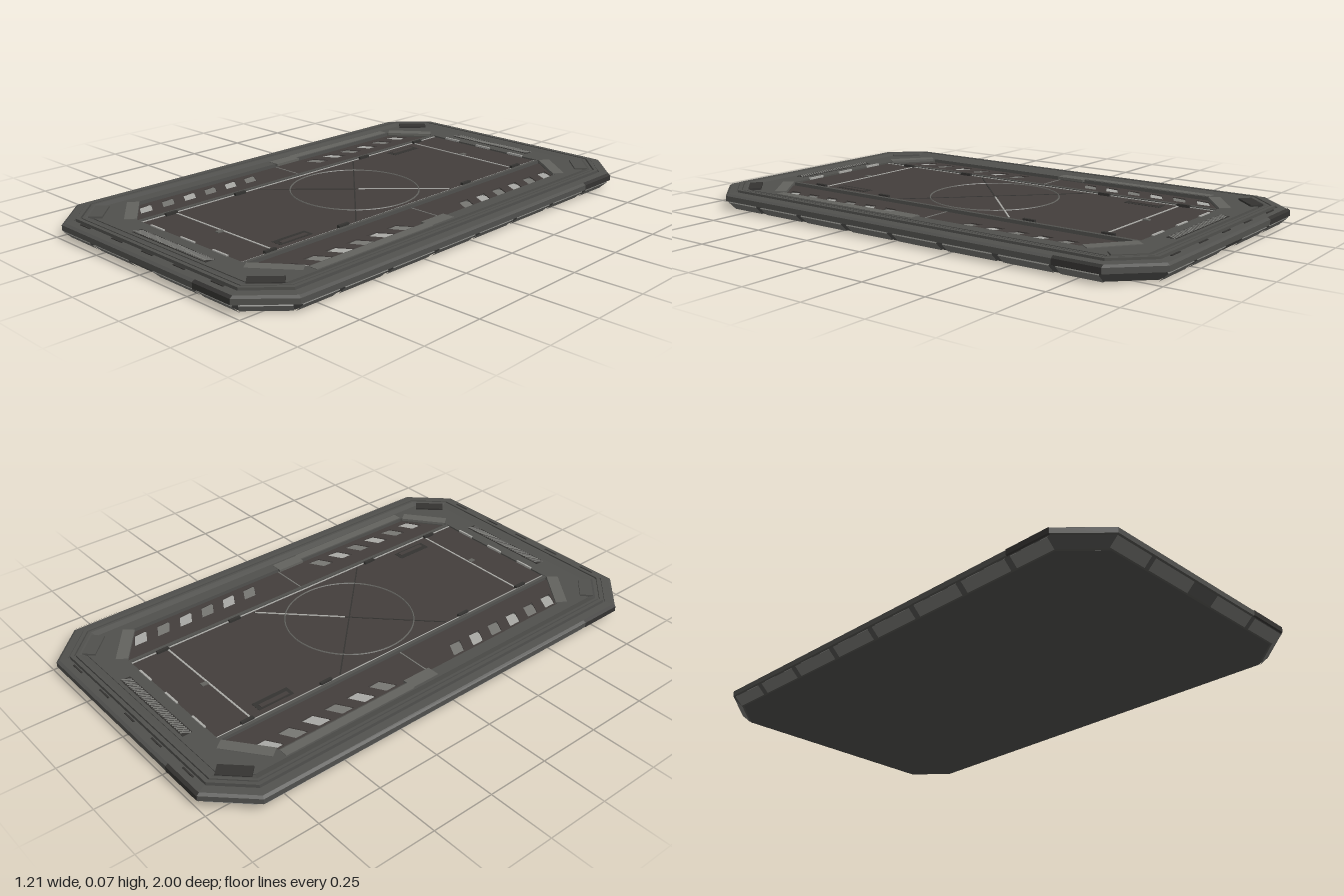
import * as THREE from 'three';

const mat = (color) => new THREE.MeshStandardMaterial({ color, flatShading: true });
const M = {
  frame: mat(0x50504d), trim: mat(0x62625e), bevel: mat(0x767672), floor: mat(0x433e3c),
  dark: mat(0x343331), base: mat(0x4c4c49), light: mat(0xa8a8a4),
};

// Heights of the centre panel, side panels and inner ledge
const CENTRE = 0.06, SIDE = 0.052, LEDGE = 0.066;

// Cut-corner outline, running from +x towards +z
const octagon = (a, b, cx, cz) => [
  [a, -b + cz], [a, b - cz], [a - cx, b], [-a + cx, b],
  [-a, b - cz], [-a, -b + cz], [-a + cx, -b], [a - cx, -b],
];

// Sweeps an [inset, height] profile along a path in the ground plane with mitred corners
function sweep(path, profile, closed) {
  const n = path.length;
  const normal = (i) => {
    const [p, q] = [path[(i + n) % n], path[(i + 1) % n]];
    const l = Math.hypot(q[0] - p[0], q[1] - p[1]);
    return [(q[1] - p[1]) / l, -(q[0] - p[0]) / l];
  };
  const rings = path.map(([x, z], i) => {
    const n1 = normal(!closed && i === 0 ? 0 : i - 1);
    const n2 = normal(!closed && i === n - 1 ? i - 1 : i);
    const k = 1 + n1[0] * n2[0] + n1[1] * n2[1];
    return profile.map(([d, y]) => [x - d * (n1[0] + n2[0]) / k, y, z - d * (n1[1] + n2[1]) / k]);
  });
  const pos = [];
  for (let j = 0; j < (closed ? n : n - 1); j++) {
    const r = rings[j], s = rings[(j + 1) % n];
    for (let k = 0; k < profile.length - 1; k++) {
      pos.push(...r[k], ...r[k + 1], ...s[k + 1], ...r[k], ...s[k + 1], ...s[k]);
    }
  }
  const g = new THREE.BufferGeometry();
  g.setAttribute('position', new THREE.Float32BufferAttribute(pos, 3));
  g.computeVertexNormals();
  return g;
}

// Flat plate from [x, z] points, with optional holes
function plate(points, top, thick, holes = []) {
  const v = (ps) => ps.map(([x, z]) => new THREE.Vector2(x, z));
  const shape = new THREE.Shape(v(points));
  holes.forEach((h) => shape.holes.push(new THREE.Path(v(h))));
  return new THREE.ExtrudeGeometry(shape, { depth: thick, bevelEnabled: false })
    .rotateX(Math.PI / 2).translate(0, top, 0);
}

function add(parent, name, geometry, material) {
  const m = new THREE.Mesh(geometry, material);
  m.name = name;
  parent.add(m);
  return m;
}

function box(parent, name, size, at, material, turn = 0) {
  const m = add(parent, name, new THREE.BoxGeometry(...size), material);
  m.position.set(...at);
  m.rotation.y = turn;
  return m;
}

// Details of one half; the other half is the same turned by 180 degrees
function buildHalf() {
  const h = new THREE.Group();

  // Dark guards on the upper wall beside two corners
  const guard = [[0.004, 0.034], [-0.002, 0.037], [-0.002, 0.057], [0.009, 0.0645]];
  add(h, 'sideGuard', sweep([[0.605, -0.85], [0.605, -0.67]], guard, false), M.dark);
  add(h, 'frontGuard', sweep([[0.46, 1], [0.28, 1]], guard, false), M.dark);

  // Panels on the lower bevel, with gaps between them
  const bevel = [[0.036, 0], [0.004, 0.03], [0.01, 0.036]];
  const side = [-0.85, -0.67, -0.45, -0.22, 0, 0.22, 0.45, 0.67, 0.85];
  for (let i = 0; i < side.length - 1; i++) {
    add(h, 'sideBevelPanel', sweep([[0.605, side[i] + 0.012], [0.605, side[i + 1] - 0.012]], bevel, false), M.bevel);
  }
  for (const [a, b] of [[0.46, 0.29], [0.27, 0.065], [-0.065, -0.27], [-0.29, -0.46]]) {
    add(h, 'frontBevelPanel', sweep([[a, 1], [b, 1]], bevel, false), M.bevel);
  }
  add(h, 'cornerBevelPanel', sweep([[0.59, 0.866], [0.475, 0.984]], bevel, false), M.bevel);

  // Thin inlays in the end rim
  for (const x of [-0.36, -0.17, 0, 0.17, 0.36]) {
    box(h, 'rimInlay', [0.06, 0.004, 0.006], [x, 0.066, 0.966], M.dark);
  }

  // Hatched vent on the end ledge
  box(h, 'ventPlate', [0.4, 0.003, 0.038], [0, LEDGE, 0.865], M.dark);
  for (let i = 0; i < 32; i++) {
    box(h, 'ventRib', [0.006, 0.004, 0.036], [-0.19 + i * 0.01226, LEDGE + 0.001, 0.865], M.bevel, -0.6);
  }

  // Corner blocks
  for (const s of [1, -1]) {
    box(h, 'cornerBlock', [0.12, 0.012, 0.05], [s * 0.452, 0.067, 0.852], s > 0 ? M.dark : M.frame, s * 0.8);
    box(h, 'cornerStep', [0.19, 0.01, 0.045], [s * 0.385, 0.064, 0.757], M.trim, s * 0.66);
  }

  // Side panel with slanted windows and bright louvres below them
  const windows = [];
  for (const s of [1, -1]) {
    for (let i = 0; i < 6; i++) {
      const z = s * (0.14 + i * 0.1);
      windows.push([[0.372, z + s * 0.035], [0.432, z], [0.432, z + s * 0.052], [0.372, z + s * 0.087]]);
      const louvre = box(h, 'louvre', [0.06, 0.003, 0.075], [0.402, SIDE - 0.006, z + s * 0.043], i % 2 ? M.light : M.bevel);
      louvre.rotation.x = s * 0.06;
    }
  }
  const outline = [[0.28, -0.8], [0.3, -0.8], [0.455, -0.68], [0.455, 0.68], [0.3, 0.8], [0.28, 0.8]];
  add(h, 'sidePanel', plate(outline, SIDE, 0.004, windows), M.floor);
  box(h, 'sideStep', [0.05, 0.01, 0.12], [0.467, 0.063, 0.06], M.trim);
  box(h, 'sideStrip', [0.036, 0.01, 0.56], [0.479, 0.063, 0.4], M.trim);
  box(h, 'panelSeam', [0.18, 0.003, 0.005], [0.375, SIDE, 0], M.bevel);

  // Edging of the centre panel
  box(h, 'panelRail', [0.014, 0.018, 1.6], [0.284, CENTRE - 0.004, 0], M.frame);
  box(h, 'railLine', [0.006, 0.004, 1.6], [0.272, CENTRE, 0], M.light);
  for (const z of [-0.67, -0.35, 0.33, 0.67]) {
    box(h, 'railClip', [0.012, 0.012, 0.05], [0.266, CENTRE + 0.004, z], M.dark);
  }
  box(h, 'hatchLine', [0.52, 0.004, 0.007], [0, CENTRE, 0.65], M.light);
  box(h, 'hatchLatch', [0.018, 0.006, 0.025], [0, CENTRE + 0.001, 0.665], M.trim);
  for (const x of [-0.17, 0, 0.17]) {
    box(h, 'endLine', [0.075, 0.008, 0.008], [x, LEDGE, 0.801], M.light);
  }

  // Recessed handle
  box(h, 'handleRecess', [0.045, 0.002, 0.15], [0.222, CENTRE, 0.53], M.dark);
  box(h, 'handle', [0.018, 0.004, 0.12], [0.228, CENTRE + 0.001, 0.53], M.floor);

  // Diagonal grooves through the ring mark
  for (const s of [1, -1]) {
    box(h, 'diagonal', [0.37, 0.003, 0.005], [0.131, CENTRE, s * 0.131], M.dark, -s * Math.PI / 4);
  }
  return h;
}

export function createModel() {
  const model = new THREE.Group();
  model.name = 'platform';

  // Stepped rim, from the underside over the top to the inner ledge
  const profile = [
    [0.044, 0], [0.038, 0.004], [0.008, 0.034], [0, 0.036], [0, 0.056], [0.01, 0.063],
    [0.04, 0.066], [0.04, 0.06], [0.046, 0.06], [0.046, 0.073], [0.06, 0.073], [0.06, 0.064],
    [0.066, 0.064], [0.066, 0.072], [0.076, 0.072], [0.104, 0.062],
  ];
  add(model, 'rim', sweep(octagon(0.605, 1, 0.145, 0.15), profile, true), M.frame);

  // Underside and floor
  add(model, 'base', plate(octagon(0.561, 0.956, 0.119, 0.124), 0.04, 0.04), M.base);
  add(model, 'centrePanel', plate([[-0.28, -0.8], [0.28, -0.8], [0.28, 0.8], [-0.28, 0.8]], CENTRE, 0.02), M.floor);

  // Ledge between the rim and the floor
  const opening = octagon(0.455, 0.8, 0.155, 0.12);
  add(model, 'ledge', plate(octagon(0.503, 0.898, 0.086, 0.09), LEDGE, 0.026, [opening]), M.frame);

  // Ring mark in the middle, with one bright spoke
  const ring = add(model, 'ringMark', new THREE.TorusGeometry(0.248, 0.003, 6, 64), M.trim);
  ring.rotation.x = Math.PI / 2;
  ring.position.y = CENTRE;
  box(model, 'brightSpoke', [0.35, 0.003, 0.006], [0.135, CENTRE + 0.001, -0.135], M.light, Math.PI / 4);

  for (const turn of [0, Math.PI]) {
    const half = buildHalf();
    half.name = turn ? 'backHalfDetails' : 'frontHalfDetails';
    half.rotation.y = turn;
    model.add(half);
  }
  return model;
}
